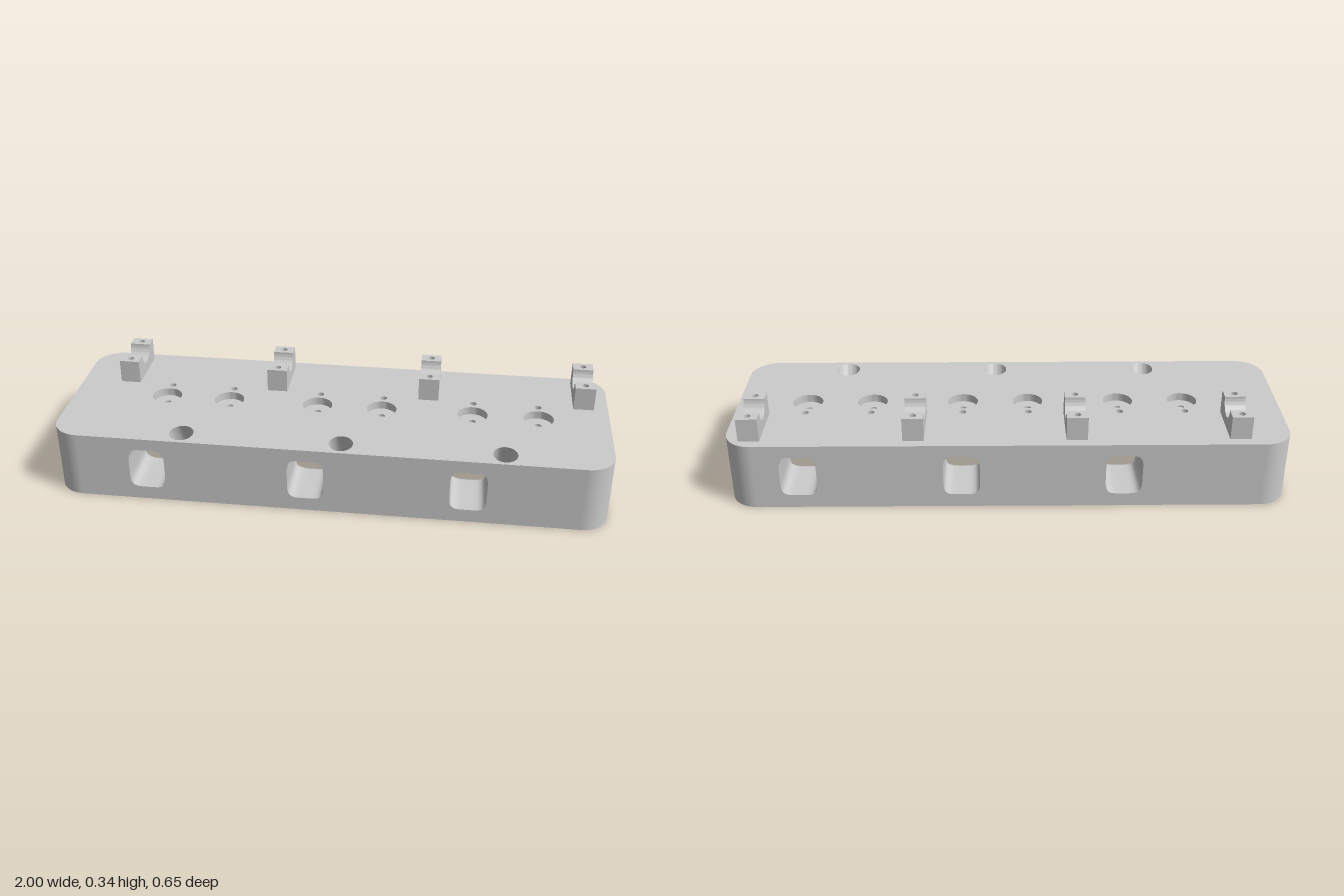
import * as THREE from 'three';
import { toCreasedNormals } from 'three/addons/utils/BufferGeometryUtils.js';

const W = 1, D = 0.325, H = 0.25, CORNER = 0.1;          // block half width, half depth, height
const CYLINDERS = [-0.528, 0.047, 0.623];                // combustion chamber centres in x
const VALVE = 0.12, VALVE_R = 0.106;                     // valve offset from centre, seat radius
const CHAMBER_R = 0.245, CEILING = 0.015;
const PLUG_Z = 0.262, PLUG_R = 0.043, PLUG_TIP_R = 0.02, TILT = Math.PI / 6;
const CAPS = [-0.815, -0.24, 0.335, 0.91];
const PORT = { half: 0.065, bottom: 0.05, top: 0.205 };
const N = 48;

const material = new THREE.MeshStandardMaterial({ color: 0xcccccc });

function add(parent, name, geometry, x = 0, y = 0, z = 0) {
  const mesh = new THREE.Mesh(geometry, material);
  mesh.name = name;
  mesh.position.set(x, y, z);
  parent.add(mesh);
  return mesh;
}

function ellipse(x, y, rx, ry = rx) {
  return new THREE.Path().absellipse(x, y, rx, ry, 0, Math.PI * 2, false, 0);
}

// Inward-facing turned bore; profile runs from top to bottom
function bore(points) {
  const lathe = new THREE.LatheGeometry(points.map(p => new THREE.Vector2(...p)), N);
  return toCreasedNormals(lathe, 0.6);
}

// Unit outline from rounded square (n = 5) to circle (n = 2)
function unitOutline(n) {
  return Array.from({ length: N }, (_, i) => {
    const a = (i / N) * Math.PI * 2, c = Math.cos(a), s = Math.sin(a);
    const r = Math.pow(Math.abs(c) ** n + Math.abs(s) ** n, -1 / n);
    return [c * r, s * r];
  });
}

function blockOutline() {
  const s = new THREE.Shape(), x = W - CORNER, y = D - CORNER, q = Math.PI / 2;
  s.absarc(x, y, CORNER, 0, q);
  s.absarc(-x, y, CORNER, q, 2 * q);
  s.absarc(-x, -y, CORNER, 2 * q, 3 * q);
  s.absarc(x, -y, CORNER, 3 * q, 4 * q);
  return s;
}

// Long wall with port openings at the given x positions
function wallGeometry(xs) {
  const x = W - CORNER;
  const s = new THREE.Shape([[-x, 0], [x, 0], [x, H], [-x, H]].map(p => new THREE.Vector2(...p)));
  const mid = (PORT.top + PORT.bottom) / 2, half = (PORT.top - PORT.bottom) / 2;
  for (const px of xs) {
    s.holes.push(new THREE.Path(unitOutline(5).map(([u, v]) =>
      new THREE.Vector2(px + u * PORT.half, mid + v * half))));
  }
  return new THREE.ShapeGeometry(s);
}

// Port passage: sections swept from the wall opening, bending down to the valve seat
function portGeometry() {
  const STEPS = 14, pos = [], index = [];
  const addSection = (outer, inner, half, n) => {
    for (const [u, v] of unitOutline(n)) {
      const k = (1 + v) / 2;
      pos.push(u * half, inner[1] + (outer[1] - inner[1]) * k, inner[0] + (outer[0] - inner[0]) * k);
    }
  };
  addSection([D, PORT.top], [D, PORT.bottom], PORT.half, 5);
  for (let k = 0; k <= STEPS; k++) {
    const a = (k / STEPS) * Math.PI / 2, s = Math.sin(a), c = Math.cos(a);
    addSection(
      [0.06 - (0.06 + VALVE_R) * s, CEILING + (PORT.top - CEILING) * c],
      [0.14 - (0.14 - VALVE_R) * s, CEILING + (PORT.bottom - CEILING) * c],
      PORT.half + (VALVE_R - PORT.half) * s, 5 - 3 * s);
  }
  for (let i = 0; i <= STEPS; i++) {
    for (let j = 0; j < N; j++) {
      const a = i * N + j, b = i * N + (j + 1) % N;
      index.push(a, b, a + N, b, b + N, a + N);
    }
  }
  const g = new THREE.BufferGeometry();
  g.setAttribute('position', new THREE.Float32BufferAttribute(pos, 3));
  g.setIndex(index);
  g.computeVertexNormals();
  return g;
}

// Tilted, stepped plug hole trimmed to the top deck and the chamber ceiling
function plugHoleGeometry() {
  const profile = [[PLUG_R, 0], [PLUG_R, -0.16], [PLUG_TIP_R, -0.16], [PLUG_TIP_R, -0.26]];
  const g = new THREE.LatheGeometry(profile.map(p => new THREE.Vector2(...p)), N);
  g.rotateX(TILT);
  const p = g.attributes.position, n = profile.length;
  for (let i = 0; i < p.count; i++) {
    const ring = i % n;
    if (ring !== 0 && ring !== n - 1) continue;
    const y = ring === 0 ? 0 : CEILING - H;
    p.setZ(i, p.getZ(i) + (y - p.getY(i)) * Math.tan(TILT));
    p.setY(i, y);
  }
  return toCreasedNormals(g, 0.6);
}

function buildBlock() {
  const block = new THREE.Group();
  block.name = 'headBlock';

  // Decks with their openings
  const top = blockOutline(), bottom = blockOutline();
  for (const c of CYLINDERS) {
    for (const x of [c - VALVE, c + VALVE]) top.holes.push(ellipse(x, 0, 0.055), ellipse(x, 0.082, 0.013));
    top.holes.push(ellipse(c, -PLUG_Z, PLUG_R, PLUG_R / Math.cos(TILT)));
    bottom.holes.push(ellipse(c, 0, CHAMBER_R));
  }
  add(block, 'topDeck', new THREE.ShapeGeometry(top, 24).rotateX(-Math.PI / 2), 0, H, 0);
  add(block, 'bottomDeck', new THREE.ShapeGeometry(bottom, 24).rotateX(Math.PI / 2));

  // Walls and rounded corners
  add(block, 'frontWall', wallGeometry(CYLINDERS.map(c => c - VALVE)), 0, 0, D);
  add(block, 'backWall', wallGeometry(CYLINDERS.map(c => -c - VALVE)).rotateY(Math.PI), 0, 0, -D);
  for (const s of [-1, 1]) {
    add(block, s > 0 ? 'leftWall' : 'rightWall',
      new THREE.PlaneGeometry(2 * (D - CORNER), H).rotateY(s * Math.PI / 2), s * W, H / 2, 0);
  }
  [[1, 1], [1, -1], [-1, -1], [-1, 1]].forEach(([sx, sz], i) =>
    add(block, 'corner', new THREE.CylinderGeometry(CORNER, CORNER, H, 24, 1, true, i * Math.PI / 2, Math.PI / 2),
      sx * (W - CORNER), H / 2, sz * (D - CORNER)));
  return block;
}

// Chamber, ports, valve pockets and plug hole of one cylinder
function buildCylinder(x) {
  const group = new THREE.Group();
  group.name = 'cylinderCavities';
  group.position.x = x;

  const ceiling = new THREE.Shape().absarc(0, 0, CHAMBER_R, 0, Math.PI * 2);
  const tipZ = PLUG_Z - Math.tan(TILT) * (H - CEILING);
  ceiling.holes.push(ellipse(-VALVE, 0, VALVE_R), ellipse(VALVE, 0, VALVE_R),
    ellipse(0, tipZ, PLUG_TIP_R, PLUG_TIP_R / Math.cos(TILT)));
  add(group, 'chamberCeiling', new THREE.ShapeGeometry(ceiling, 24).rotateX(Math.PI / 2), 0, CEILING, 0);
  add(group, 'chamberRim', bore([[CHAMBER_R, CEILING], [CHAMBER_R, 0]]));

  add(group, 'frontPort', portGeometry(), -VALVE);
  add(group, 'backPort', portGeometry(), VALVE).rotation.y = Math.PI;
  for (const vx of [-VALVE, VALVE]) {
    add(group, 'valvePocket', bore([[0.055, H], [0.055, 0.22], [0.013, 0.22], [0.013, 0.19]]), vx);
    add(group, 'oilHole', bore([[0.013, H], [0.013, 0.21], [0, 0.21]]), vx, 0, -0.082);
  }
  add(group, 'plugHole', plugHoleGeometry(), 0, H, PLUG_Z);
  return group;
}

// Camshaft bearing support: two drilled posts around a half-round saddle
function buildBearing(x) {
  const group = new THREE.Group();
  group.name = 'bearingSupport';
  group.position.set(x, H, -0.188);
  const width = 0.075, height = 0.088, r = 0.05;

  const saddle = new THREE.Shape();
  saddle.moveTo(-r, 0).lineTo(r, 0).lineTo(r, height);
  saddle.absarc(0, height, r, 0, Math.PI, true);
  const saddleGeo = new THREE.ExtrudeGeometry(saddle, { depth: width, bevelEnabled: false, curveSegments: 32 });
  saddleGeo.translate(0, 0, -width / 2).rotateY(Math.PI / 2);
  add(group, 'saddle', toCreasedNormals(saddleGeo, 0.6));

  const w = width / 2, d = 0.025;
  const post = new THREE.Shape([[-w, -d], [w, -d], [w, d], [-w, d]].map(p => new THREE.Vector2(...p)));
  post.holes.push(ellipse(0, 0, 0.012));
  const postGeo = toCreasedNormals(new THREE.ExtrudeGeometry(post,
    { depth: height, bevelEnabled: false, curveSegments: 24 }).rotateX(-Math.PI / 2), 0.6);
  for (const s of [-1, 1]) add(group, 'boltPost', postGeo, 0, 0, s * (r + d));
  return group;
}

export function createModel() {
  const model = new THREE.Group();
  model.name = 'cylinderHead';
  model.add(buildBlock());
  for (const x of CYLINDERS) model.add(buildCylinder(x));
  for (const x of CAPS) model.add(buildBearing(x));
  return model;
}
